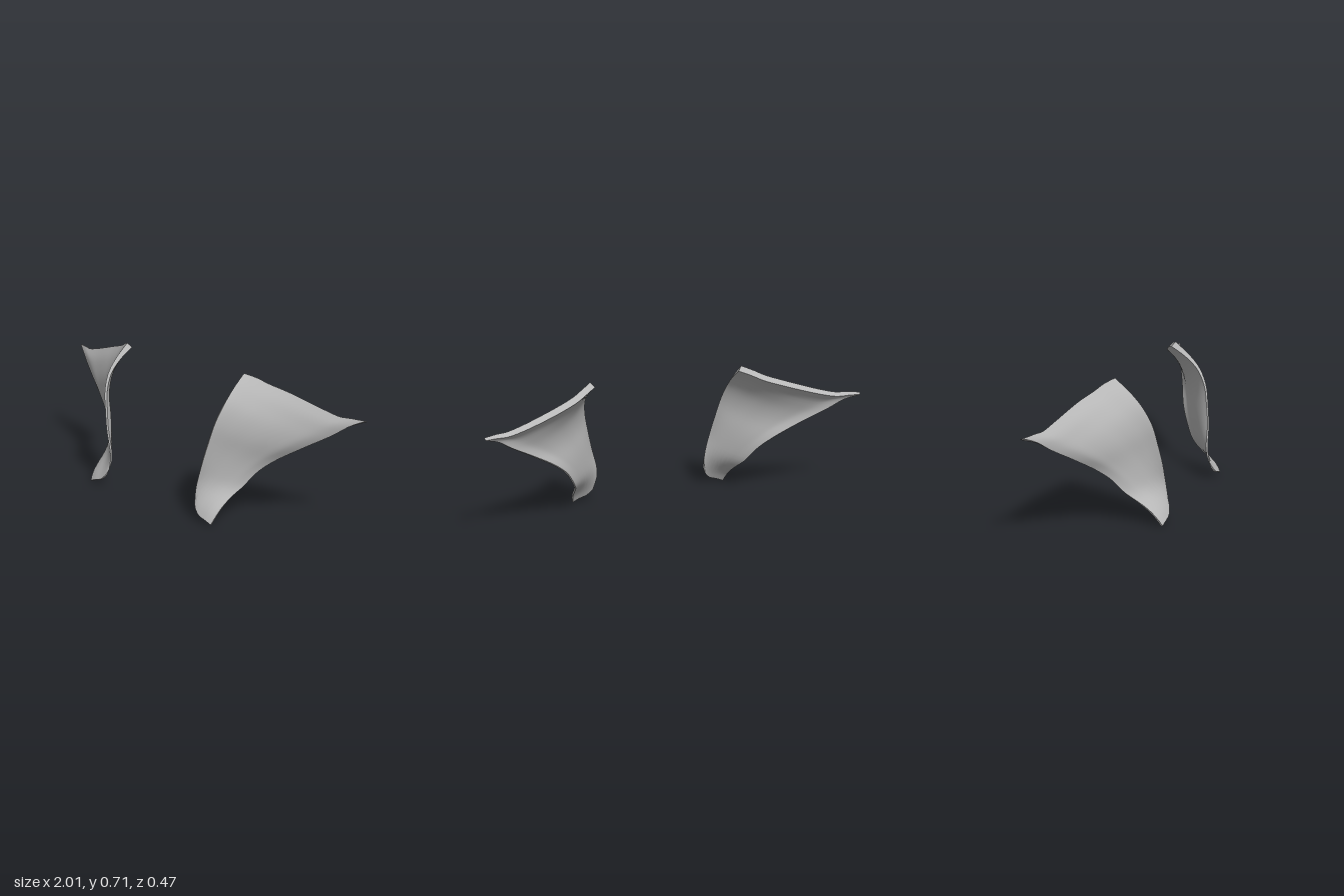
import * as THREE from 'three';
import { toCreasedNormals } from 'three/addons/utils/BufferGeometryUtils.js';

const curve = (pts) => new THREE.CatmullRomCurve3(pts.map((p) => new THREE.Vector3(...p)));

// The four border curves of the left panel
const topEdge = curve([[0.4, 0.708, -0.035], [0.45, 0.69, -0.07], [0.51, 0.663, -0.1], [0.6, 0.635, -0.135],
  [0.7, 0.605, -0.16], [0.8, 0.577, -0.18], [0.88, 0.56, -0.193], [0.94, 0.562, -0.21], [1, 0.562, -0.23]]);
const innerEdge = curve([[0.4, 0.708, -0.035], [0.402, 0.65, 0.045], [0.4, 0.585, 0.108], [0.385, 0.5, 0.152],
  [0.362, 0.4, 0.173], [0.338, 0.3, 0.188], [0.312, 0.2, 0.192], [0.306, 0.15, 0.196], [0.312, 0.1, 0.205]]);
const outerEdge = curve([[1, 0.562, -0.23], [0.93, 0.53, -0.19], [0.86, 0.48, -0.158], [0.73, 0.4, -0.1],
  [0.6, 0.315, -0.045], [0.53, 0.25, 0], [0.48, 0.17, 0.052], [0.458, 0.13, 0.1], [0.447, 0.085, 0.16],
  [0.442, 0.045, 0.2], [0.433, 0.008, 0.224]]);
const bottomEdge = curve([[0.312, 0.1, 0.205], [0.325, 0.065, 0.218], [0.355, 0.037, 0.226],
  [0.4, 0.022, 0.227], [0.433, 0.008, 0.224]]);

// Blend of the four borders: u runs inner to outer, v runs top to bottom
function surface(u, v) {
  const p = new THREE.Vector3();
  p.addScaledVector(topEdge.getPointAt(u), 1 - v).addScaledVector(bottomEdge.getPointAt(u), v);
  p.addScaledVector(innerEdge.getPointAt(v), 1 - u).addScaledVector(outerEdge.getPointAt(v), u);
  p.addScaledVector(topEdge.getPointAt(0), -(1 - u) * (1 - v)).addScaledVector(topEdge.getPointAt(1), -u * (1 - v));
  p.addScaledVector(bottomEdge.getPointAt(0), -(1 - u) * v).addScaledVector(bottomEdge.getPointAt(1), -u * v);
  return p;
}

function surfaceNormal(u, v) {
  const e = 0.01;
  const du = surface(Math.min(u + e, 1), v).sub(surface(Math.max(u - e, 0), v));
  const dv = surface(u, Math.min(v + e, 1)).sub(surface(u, Math.max(v - e, 0)));
  return dv.cross(du).normalize();
}

// Closed thin shell: each row is a loop along the front face and back along the rear face
function panelGeometry(side) {
  const n = 28, rows = 32, loop = 2 * (n + 1);
  const pos = [], index = [];
  for (let i = 0; i <= rows; i++) {
    const v = i / rows, front = [], back = [];
    for (let j = 0; j <= n; j++) {
      const u = j / n;
      const half = 0.005 + 0.012 * Math.pow(1 - v, 4) * (1 - 0.6 * u ** 4);
      const p = surface(u, v), offset = surfaceNormal(u, v).multiplyScalar(half);
      front.push(p.clone().add(offset));
      back.unshift(p.clone().sub(offset));
    }
    for (const p of [...front, ...back]) pos.push(p.x * side, p.y, p.z);
  }
  const tri = (a, b, c) => (side > 0 ? index.push(a, b, c) : index.push(a, c, b));
  for (let i = 0; i < rows; i++) {
    for (let j = 0; j < loop; j++) {
      const a = i * loop + j, b = i * loop + ((j + 1) % loop);
      tri(a, a + loop, b);
      tri(b, a + loop, b + loop);
    }
  }
  // Top and bottom rims
  for (let j = 0; j < n; j++) {
    const k = loop - 1 - j, end = rows * loop;
    tri(j, j + 1, k);
    tri(j + 1, k - 1, k);
    tri(end + j, end + k, end + j + 1);
    tri(end + j + 1, end + k, end + k - 1);
  }
  const geo = new THREE.BufferGeometry();
  geo.setAttribute('position', new THREE.Float32BufferAttribute(pos, 3));
  geo.setIndex(index);
  return toCreasedNormals(geo, 0.9);
}

export function createModel() {
  const group = new THREE.Group();
  group.name = 'curvedPanels';
  const grey = new THREE.MeshStandardMaterial({ color: 0xb8b8b8 });
  grey.name = 'plainGrey';
  for (const side of [1, -1]) {
    const panel = new THREE.Mesh(panelGeometry(side), grey);
    panel.name = side > 0 ? 'leftPanel' : 'rightPanel';
    group.add(panel);
  }
  return group;
}
